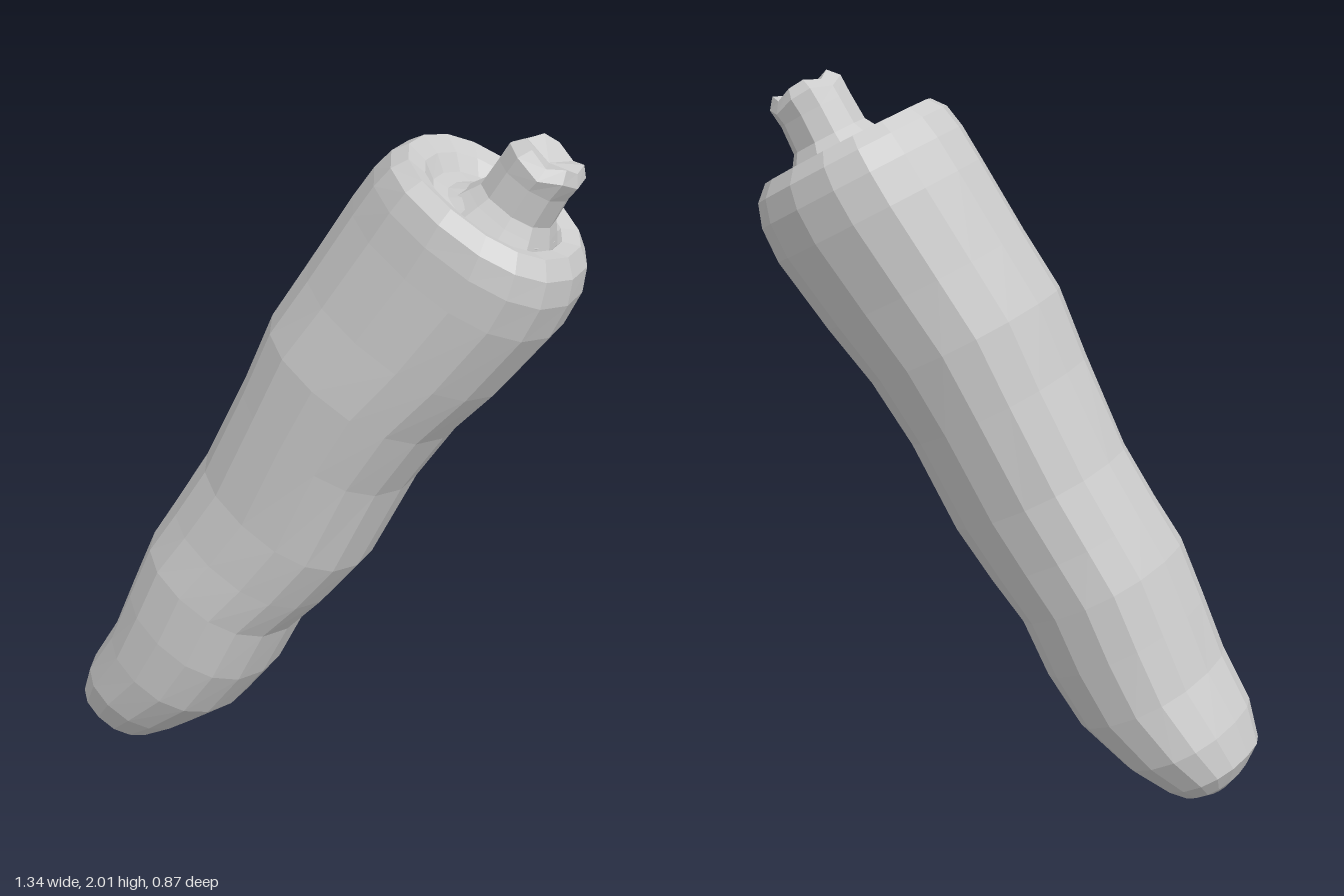
import * as THREE from 'three';

// Slightly squared circle coordinate
const soften = (c) => Math.sign(c) * Math.abs(c) ** 0.87;

// Lofts rings given as [height, xMin, xMax, zMin, zMax] around the local y axis.
function loft(name, rows, material, sides, wobble = () => 0) {
  const pos = [], index = [];
  rows.forEach(([s, x0, x1, z0, z1], i) => {
    const cx = (x0 + x1) / 2, cz = (z0 + z1) / 2;
    const y = (s - 0.18 * cz) / 0.984;
    for (let j = 0; j < sides; j++) {
      const a = (j / sides) * Math.PI * 2;
      pos.push(
        cx + soften(Math.cos(a)) * (x1 - x0) / 2,
        y + wobble(i, j),
        cz + soften(Math.sin(a)) * (z1 - z0) / 2);
    }
  });
  for (let i = 0; i < rows.length - 1; i++) {
    for (let j = 0; j < sides; j++) {
      const k = (j + 1) % sides;
      const a = i * sides + j, b = i * sides + k, c = a + sides, d = b + sides;
      index.push(a, c, b, b, c, d);
    }
  }
  const geometry = new THREE.BufferGeometry();
  geometry.setAttribute('position', new THREE.Float32BufferAttribute(pos, 3));
  geometry.setIndex(index);
  geometry.computeVertexNormals();
  const mesh = new THREE.Mesh(geometry, material);
  mesh.name = name;
  return mesh;
}

// A round ring at a given height, centre and radius.
const round = (s, r, cx, cz) => [s, cx - r, cx + r, cz - r, cz + r];

export function createModel() {
  const model = new THREE.Group();
  model.name = 'carrot';
  const material = new THREE.MeshStandardMaterial({ color: 0xcccccc, flatShading: true });

  // Root: blunt tip, wavy sides, rounded shoulder, then the shallow crown
  const root = [
    round(-0.237, 0, -0.51, 0.21),
    [-0.232, -0.565, -0.465, 0.15, 0.26],
    [-0.21, -0.61, -0.43, 0.10, 0.32],
    [-0.165, -0.66, -0.39, 0.06, 0.38],
    [-0.06, -0.675, -0.327, 0.01, 0.43],
    [0.10, -0.668, -0.25, -0.015, 0.457],
    [0.27, -0.69, -0.224, -0.022, 0.468],
    [0.44, -0.712, -0.235, -0.025, 0.468],
    [0.58, -0.71, -0.201, -0.028, 0.453],
    [0.75, -0.707, -0.174, -0.035, 0.445],
    [1.02, -0.726, -0.195, -0.06, 0.455],
    [1.22, -0.754, -0.18, -0.082, 0.462],
    [1.40, -0.75, -0.138, -0.099, 0.447],
    [1.62, -0.745, -0.107, -0.124, 0.437],
    [1.72, -0.735, -0.115, -0.124, 0.435],
    [1.785, -0.718, -0.142, -0.11, 0.425],
    [1.823, -0.69, -0.185, -0.075, 0.39],
    [1.812, -0.63, -0.23, -0.025, 0.35],
    [1.785, -0.585, -0.24, 0.005, 0.33],
    [1.79, -0.54, -0.235, 0.03, 0.31],
    [1.815, -0.50, -0.24, 0.045, 0.295],
    round(1.84, 0, -0.37, 0.17),
  ];

  // Stem: flared foot, stout neck, uneven cut top with a dimple
  const stem = [
    round(1.79, 0.15, -0.37, 0.17),
    round(1.83, 0.125, -0.37, 0.17),
    round(1.86, 0.106, -0.37, 0.172),
    round(1.94, 0.102, -0.37, 0.172),
    round(1.985, 0.105, -0.365, 0.172),
    round(2.015, 0.08, -0.362, 0.172),
    round(1.99, 0, -0.36, 0.172),
  ];
  const cut = (i, j) => (i === 4 || i === 5 ? 0.012 * Math.sin(j * 2.2) : 0);

  // Lean the long axis up to the left and back
  const U = new THREE.Vector3(0.895, -0.447, 0).normalize();
  const D = new THREE.Vector3(0.442, 0.879, -0.18).normalize();
  const V = new THREE.Vector3().crossVectors(U, D).normalize();
  const body = new THREE.Group();
  body.name = 'leaningCarrot';
  body.quaternion.setFromRotationMatrix(new THREE.Matrix4().makeBasis(U, D, V));
  body.add(loft('root', root, material, 16), loft('stem', stem, material, 10, cut));
  model.add(body);
  return model;
}
